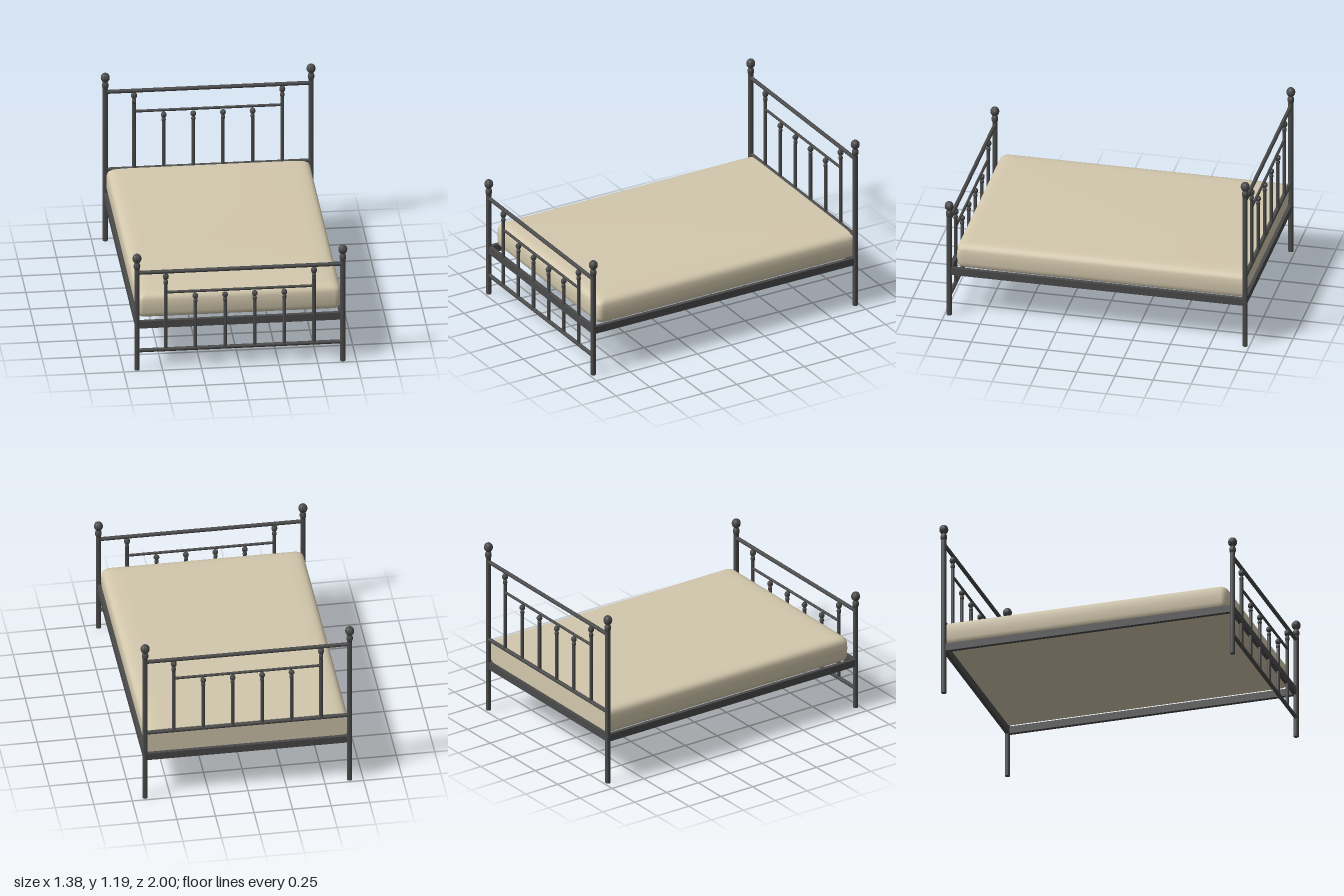
import * as THREE from 'three';
import { toCreasedNormals } from 'three/addons/utils/BufferGeometryUtils.js';

const metal = new THREE.MeshStandardMaterial({ color: 0x4a4a4b });
metal.name = 'dark metal';
const fabric = new THREE.MeshStandardMaterial({ color: 0xd3c8ad });
fabric.name = 'beige fabric';

const POST_X = 0.663, END_Z = 0.972, SPACING = 0.191;

function add(parent, name, geometry, material, x = 0, y = 0, z = 0) {
  const mesh = new THREE.Mesh(geometry, material);
  mesh.name = name;
  mesh.position.set(x, y, z);
  parent.add(mesh);
  return mesh;
}

// Turned rod with a collar bead and an egg finial; the finial is `size` times the post's.
function turnedRod(bottom, top, radius, ball, size) {
  const egg = 0.0325 * size, ring = 0.018 * size, ringR = ball * 0.74;
  const ringY = top - 0.087 * size, neck = ball * 0.55;
  const pts = [[0, bottom], [radius, bottom], [radius, ringY - ring * 1.4], [neck, ringY - ring]];
  for (let i = 1; i < 8; i++) {
    const a = -Math.PI / 2 + (i / 8) * Math.PI;
    pts.push([neck + (ringR - neck) * Math.cos(a), ringY + ring * Math.sin(a)]);
  }
  for (let i = 2; i <= 14; i++) {
    const a = -Math.PI / 2 + (i / 14) * Math.PI;
    pts.push([Math.max(0, ball * Math.cos(a)), top - egg + egg * Math.sin(a)]);
  }
  const g = new THREE.LatheGeometry(pts.map(p => new THREE.Vector2(p[0], p[1])), 20);
  return toCreasedNormals(g, 0.9);
}

function crossBar(parent, name, halfLength, radius, y) {
  const g = new THREE.CylinderGeometry(radius, radius, halfLength * 2, 16).rotateZ(Math.PI / 2);
  add(parent, name, g, metal, 0, y, 0);
}

// One end panel; `lift` raises everything but the feet.
function endPanel(name, lift, z) {
  const panel = new THREE.Group();
  panel.name = name;
  panel.position.z = z;
  for (const s of [-1, 1]) {
    add(panel, 'cornerPost', turnedRod(0, 0.819 + lift, 0.0165, 0.029, 1), metal, s * POST_X);
  }
  crossBar(panel, 'topRail', POST_X, 0.013, 0.685 + lift);
  crossBar(panel, 'middleRail', SPACING * 2.5, 0.009, 0.539 + lift);
  crossBar(panel, 'lowerRail', POST_X, 0.013, 0.135 + lift);
  for (let i = 0; i < 6; i++) {
    const outer = i === 0 || i === 5;
    const rod = outer
      ? turnedRod(0.135 + lift, 0.674 + lift, 0.0115, 0.0195, 0.74)
      : turnedRod(0.135 + lift, 0.525 + lift, 0.0115, 0.0185, 0.62);
    add(panel, outer ? 'outerSpindle' : 'innerSpindle', rod, metal, (i - 2.5) * SPACING);
  }
  return panel;
}

// Soft mattress: stacked outlines, square at the head and rounded at the foot.
function mattressGeometry() {
  const profile = [[0.342, 0.028], [0.346, 0.014], [0.356, 0.006], [0.38, 0.002], [0.425, 0],
    [0.465, 0.002], [0.484, 0.008], [0.497, 0.02], [0.505, 0.04], [0.509, 0.07], [0.511, 0.13]];
  const back = -0.957, front = 0.93, half = 0.658, corner = 0.04, steps = 6;
  const pos = [], idx = [];
  for (const [y, inset] of profile) {
    const w = half - inset, f = front - inset;
    pos.push(w, y, back, -w, y, back);
    for (const s of [-1, 1]) {
      for (let i = 0; i <= steps; i++) {
        const a = (s < 0 ? i : steps - i) / steps * Math.PI / 2;
        pos.push(s * (w - corner + corner * Math.cos(a)), y, f - corner + corner * Math.sin(a));
      }
    }
  }
  const n = pos.length / 3 / profile.length;
  for (let r = 0; r < profile.length - 1; r++) {
    for (let i = 0; i < n; i++) {
      const a = r * n + i, b = r * n + (i + 1) % n;
      idx.push(a, a + n, b, b, a + n, b + n);
    }
  }
  const last = (profile.length - 1) * n;
  for (let i = 1; i < n - 1; i++) {
    idx.push(0, i, i + 1, last, last + i + 1, last + i);
  }
  const g = new THREE.BufferGeometry();
  g.setAttribute('position', new THREE.Float32BufferAttribute(pos, 3));
  // Reverse each face so that the surfaces point outward.
  for (let i = 0; i < idx.length; i += 3) [idx[i + 1], idx[i + 2]] = [idx[i + 2], idx[i + 1]];
  g.setIndex(idx);
  return orientOutward(g);
}

// Flip the winding if the enclosed volume is negative, then crease the normals.
function orientOutward(g) {
  const p = g.attributes.position, ix = g.index.array;
  const a = new THREE.Vector3(), b = new THREE.Vector3(), c = new THREE.Vector3();
  let volume = 0;
  for (let i = 0; i < ix.length; i += 3) {
    a.fromBufferAttribute(p, ix[i]);
    b.fromBufferAttribute(p, ix[i + 1]);
    c.fromBufferAttribute(p, ix[i + 2]);
    volume += a.dot(b.cross(c));
  }
  if (volume < 0) {
    for (let i = 0; i < ix.length; i += 3) [ix[i + 1], ix[i + 2]] = [ix[i + 2], ix[i + 1]];
  }
  return toCreasedNormals(g, 0.85);
}

export function createModel() {
  const bed = new THREE.Group();
  bed.name = 'bed';

  bed.add(endPanel('headboard', 0.367, -END_Z));
  bed.add(endPanel('footboard', 0, END_Z));

  // Frame rails between the posts
  const frame = new THREE.Group();
  frame.name = 'frame';
  const railY = 0.3175, railH = 0.049, railT = 0.026;
  for (const s of [-1, 1]) {
    add(frame, 'sideRail', new THREE.BoxGeometry(railT, railH, END_Z * 2), metal, s * 0.66, railY, 0);
    add(frame, 'endRail', new THREE.BoxGeometry(POST_X * 2, railH, railT), metal, 0, railY, s * 0.967);
  }
  bed.add(frame);

  add(bed, 'mattress', mattressGeometry(), fabric);
  return bed;
}
